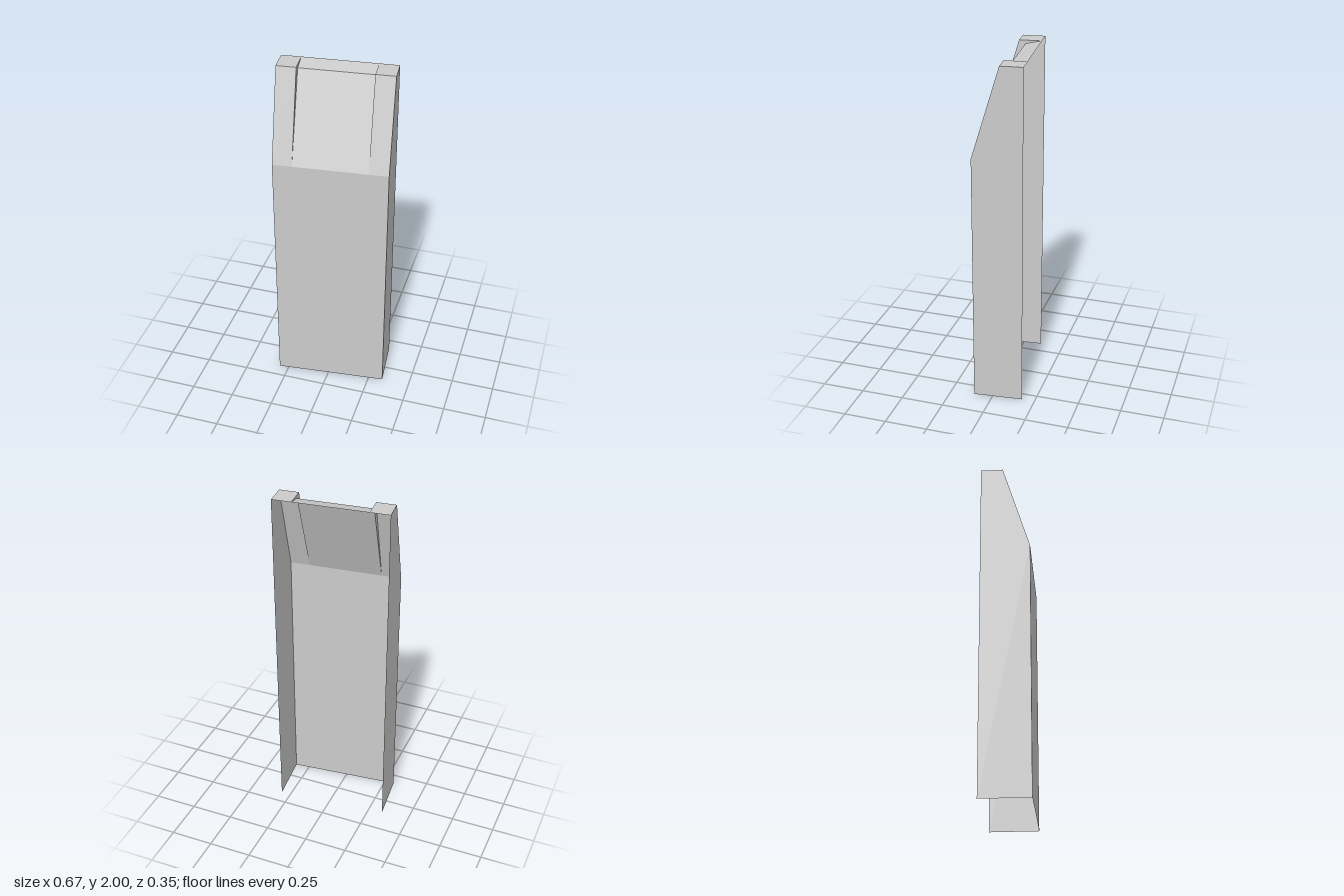
import * as THREE from 'three';

const material = new THREE.MeshStandardMaterial({ color: 0xcccccc, flatShading: true, side: THREE.DoubleSide });

const HALF_W = 0.3225, HALF_D = 0.1425; // overall half width and half depth
const RECESS = 0.211;                   // half width of the sunken middle strip
const CREASE = 1.48;                    // height where the front starts to slope back

// Profile points are [z, y]
const back = [-HALF_D, 2], crease = [HALF_D, CREASE];
const cheekEdge = [-0.0145, 2], recessEdge = [-0.05, 1.98];

// Folded sheet: a profile listed from back top to front bottom, swept from x0 to x1
function sheet(name, x0, x1, profile) {
  const geometry = new THREE.PlaneGeometry(x1 - x0, 1, 1, profile.length - 1);
  geometry.translate((x0 + x1) / 2, 0, 0);
  const p = geometry.attributes.position;
  for (let i = 0; i < p.count; i++) {
    const [z, y] = profile[Math.floor(i / 2)];
    p.setY(i, y);
    p.setZ(i, z);
  }
  geometry.computeVertexNormals();
  return named(name, geometry);
}

// Flat upright panel in the z-y plane at a given x
function panel(name, x, outline) {
  const shape = new THREE.Shape(outline.map(([z, y]) => new THREE.Vector2(z, y)));
  const geometry = new THREE.ShapeGeometry(shape).rotateY(-Math.PI / 2).translate(x, 0, 0);
  return named(name, geometry);
}

function named(name, geometry) {
  const mesh = new THREE.Mesh(geometry, material);
  mesh.name = name;
  return mesh;
}

export function createModel() {
  const model = new THREE.Group();
  model.name = 'openBackedCover';
  const body = new THREE.Group();
  body.name = 'body';
  body.rotation.y = 0.0995; // stands slightly turned
  model.add(body);

  // Upright front face
  body.add(sheet('frontPanel', -HALF_W, HALF_W, [crease, [HALF_D, 0]]));
  // Sunken strip with its gently tilted top
  body.add(sheet('recessedStrip', -RECESS, RECESS, [back, recessEdge, crease]));

  for (const [side, s] of [['left', 1], ['right', -1]]) {
    // Raised cheek: flat top and slope, beside the sunken strip
    const [x0, x1] = s > 0 ? [RECESS, HALF_W] : [-HALF_W, -RECESS];
    body.add(sheet(side + 'Cheek', x0, x1, [back, cheekEdge, crease]));
    // Thin step between cheek and strip
    body.add(panel(side + 'Step', s * RECESS, [back, recessEdge, crease, cheekEdge]));
    // Outer side wall
    body.add(panel(side + 'Wall', s * HALF_W, [[-HALF_D, 0], [HALF_D, 0], crease, cheekEdge, back]));
  }
  return model;
}
